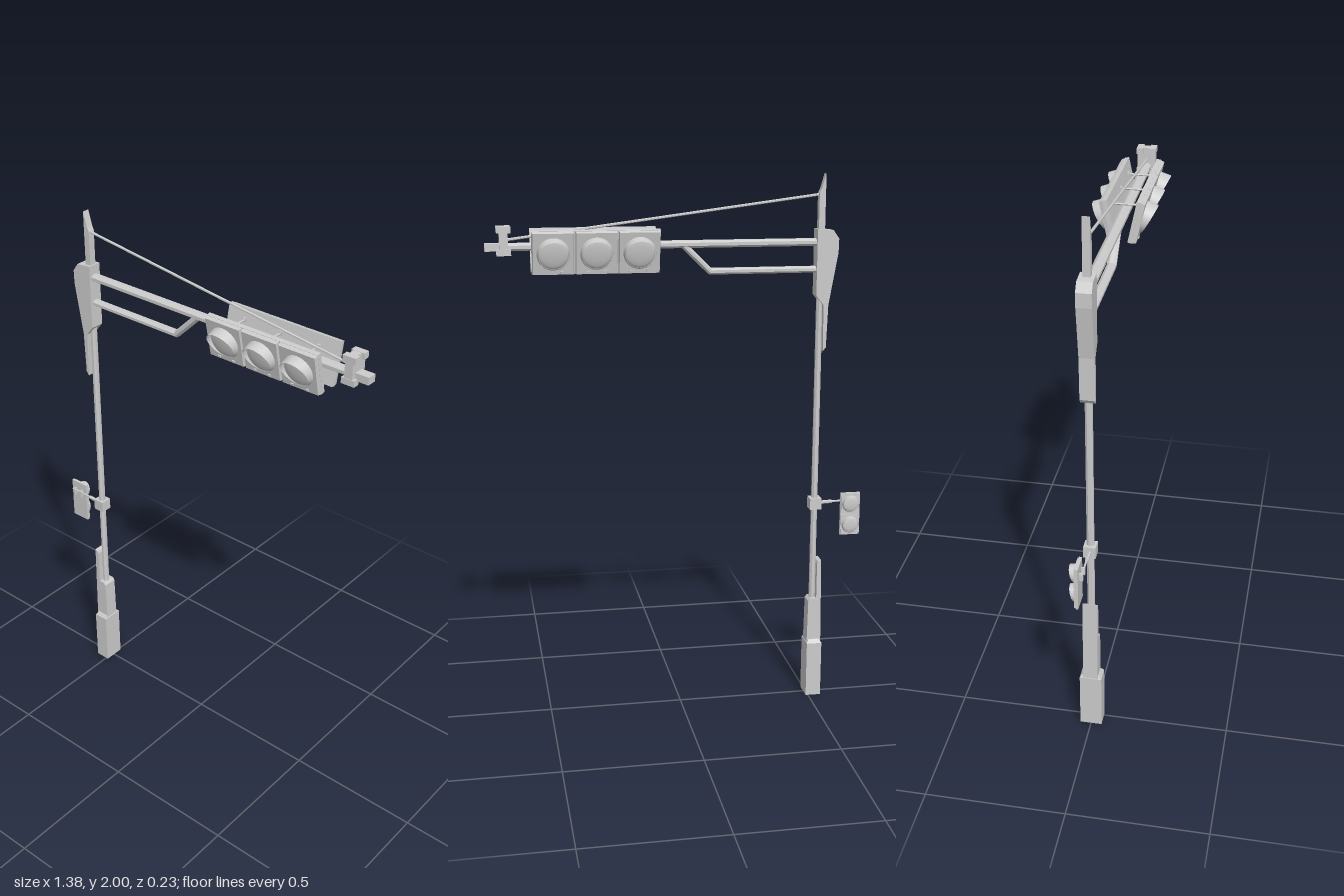
import * as THREE from 'three';

const mat = new THREE.MeshStandardMaterial({ color: 0xcccccc, flatShading: true });
const thin = new THREE.MeshStandardMaterial({ color: 0xcccccc, flatShading: true, side: THREE.DoubleSide });
const smooth = new THREE.MeshStandardMaterial({ color: 0xcccccc, side: THREE.DoubleSide });
const POLE_X = -0.516;
const ARM_Y = 1.757;

function add(parent, name, geometry, material = mat) {
  const mesh = new THREE.Mesh(geometry, material);
  mesh.name = name;
  parent.add(mesh);
  return mesh;
}

function box(parent, name, size, pos) {
  const mesh = add(parent, name, new THREE.BoxGeometry(...size));
  mesh.position.set(...pos);
  return mesh;
}

// Side profile in x/y, extruded symmetrically to a depth in z
function slab(parent, name, points, depth) {
  const shape = new THREE.Shape(points.map(p => new THREE.Vector2(...p)));
  const geometry = new THREE.ExtrudeGeometry(shape, { depth, bevelEnabled: false });
  return add(parent, name, geometry.translate(0, 0, -depth / 2));
}

// Straight bar between two points, with an optional stretch across z
function bar(parent, name, a, b, radius, sides = 8, stretch = 1) {
  const start = new THREE.Vector3(...a), end = new THREE.Vector3(...b);
  const dir = end.clone().sub(start);
  const geometry = new THREE.CylinderGeometry(radius, radius, dir.length(), sides);
  geometry.rotateY(Math.PI / sides).scale(1, 1, stretch);
  const mesh = add(parent, name, geometry);
  mesh.position.copy(start).add(end).multiplyScalar(0.5);
  mesh.quaternion.setFromUnitVectors(new THREE.Vector3(0, 1, 0), dir.normalize());
  return mesh;
}

// Open tube along +z whose mouth is cut at a slant: long on top, short below
function visor(parent, radius, length, x, y, z) {
  const geometry = new THREE.CylinderGeometry(radius * 0.93, radius, 1, 28, 1, true);
  geometry.rotateX(Math.PI / 2);
  const p = geometry.attributes.position;
  for (let i = 0; i < p.count; i++) {
    const reach = length * (0.08 + 0.92 * (0.5 + 0.5 * p.getY(i) / radius));
    p.setZ(i, p.getZ(i) > 0 ? reach : 0);
  }
  geometry.computeVertexNormals();
  add(parent, 'visor', geometry, smooth).position.set(x, y, z);
}

// Shallow domed lens facing +z
function lens(parent, radius, x, y, z) {
  const geometry = new THREE.SphereGeometry(radius, 24, 5, 0, Math.PI * 2, 0, Math.PI / 2);
  geometry.rotateX(Math.PI / 2).scale(1, 1, 0.18);
  add(parent, 'lens', geometry, smooth).position.set(x, y, z);
}

// Horizontal head with three lamps, leaning forward at the top
function signalHead(name) {
  const head = new THREE.Group();
  head.name = name;
  box(head, 'housingBack', [0.45, 0.155, 0.016], [0, 0, -0.008]);
  for (const x of [-0.151, 0, 0.151]) {
    const door = box(head, 'lampDoor', [0.147, 0.153, 0.014], [x, 0, 0.007]);
    const p = door.geometry.attributes.position;
    for (let i = 0; i < p.count; i++) {
      if (p.getZ(i) > 0) p.setXY(i, p.getX(i) * 0.96, p.getY(i) * 0.96);
    }
    lens(head, 0.054, x, 0, 0.014);
    visor(head, 0.058, 0.042, x, 0, 0.014);
    for (const s of [-1, 1]) box(head, 'doorLatch', [0.01, 0.008, 0.006], [x + s * 0.03, -0.066, 0.015]);
  }
  return head;
}

export function createModel() {
  const model = new THREE.Group();
  model.name = 'trafficSignalMast';

  // Base: hollow four-sided sleeve, narrower collar and a fin up the pole
  const sleeve = new THREE.CylinderGeometry(Math.SQRT1_2, Math.SQRT1_2, 1, 4, 1, true).rotateY(Math.PI / 4);
  const base = add(model, 'base', sleeve, thin);
  base.scale.set(0.058, 0.215, 0.08);
  base.position.set(-0.52, 0.1075, 0);
  const shoulder = new THREE.CylinderGeometry(0.7, 1, 1, 4, 1).rotateY(Math.PI / 4);
  const neck = add(model, 'baseShoulder', shoulder);
  neck.scale.set(0.058 * Math.SQRT1_2, 0.014, 0.08 * Math.SQRT1_2);
  neck.position.set(-0.52, 0.222, 0);
  slab(model, 'baseCollar', [[-0.548, 0.21], [-0.493, 0.21], [-0.496, 0.385], [-0.505, 0.395],
    [-0.527, 0.395], [-0.527, 0.535], [-0.531, 0.545], [-0.543, 0.55]], 0.054);

  // Pole and slanted tip
  bar(model, 'pole', [POLE_X, 0.2, 0], [POLE_X, 1.8, 0], 0.012, 8, 1.15);
  slab(model, 'poleTip', [[-0.527, 1.78], [-0.504, 1.78], [-0.504, 1.93], [-0.511, 1.945], [-0.527, 2]], 0.026);

  // Bracket that holds the arms
  slab(model, 'armBracket', [[-0.527, 1.36], [-0.525, 1.53], [-0.497, 1.565], [-0.497, 1.805],
    [-0.556, 1.8], [-0.577, 1.77], [-0.576, 1.72], [-0.543, 1.53], [-0.538, 1.375]], 0.052);

  // Arms: straight top bar and a lower bar bending up to meet it
  bar(model, 'upperArm', [-0.5, ARM_Y, 0], [0.64, ARM_Y, 0], 0.0145, 8, 1.4);
  bar(model, 'lowerArm', [-0.5, 1.659, 0], [-0.105, 1.659, 0], 0.0125, 8, 1.4);
  bar(model, 'armBrace', [-0.11, 1.657, 0], [-0.008, 1.757, 0], 0.0125, 8, 1.4);
  bar(model, 'stayCable', [-0.515, 1.927, 0], [0.61, 1.782, 0], 0.005, 6);

  // Clamp near the end of the arm, with flared corners
  const clamp = new THREE.Group();
  clamp.name = 'armEndClamp';
  clamp.position.set(0.624, 1.779, 0);
  model.add(clamp);
  box(clamp, 'clampCore', [0.03, 0.098, 0.068], [0, 0, 0]);
  for (const y of [-1, 1]) for (const z of [-1, 1]) {
    box(clamp, 'clampCorner', [0.05, 0.022, 0.024], [0, y * 0.039, z * 0.024]);
  }
  box(model, 'armEnd', [0.06, 0.027, 0.036], [0.66, ARM_Y, 0]);

  // Two signal heads back to back, tied across the arm
  for (const s of [1, -1]) {
    const mount = new THREE.Group();
    mount.name = s > 0 ? 'frontSignalMount' : 'backSignalMount';
    mount.position.set(0.305, 1.738, 0);
    mount.rotation.y = s > 0 ? 0 : Math.PI;
    const head = signalHead('signalHead');
    head.position.z = 0.052;
    head.rotation.x = 0.21;
    mount.add(head);
    model.add(mount);
  }
  for (const x of [0.154, 0.305, 0.456]) {
    bar(model, 'headTie', [x, 1.778, -0.052], [x, 1.778, 0.052], 0.004, 6);
    for (const s of [-1, 1]) box(model, 'tieFoot', [0.014, 0.014, 0.01], [x, 1.778, s * 0.043]);
  }

  // Pedestrian signal on a short side arm, facing the back
  box(model, 'sideClamp', [0.044, 0.044, 0.044], [-0.517, 0.773, 0]);
  bar(model, 'sideArm', [-0.53, 0.773, 0], [-0.585, 0.775, 0], 0.007, 6);
  bar(model, 'sideArmThin', [-0.58, 0.775, 0], [-0.68, 0.777, 0], 0.004, 6);
  const walk = new THREE.Group();
  walk.name = 'pedestrianSignal';
  walk.position.set(-0.653, 0.728, -0.014);
  walk.rotation.y = Math.PI;
  model.add(walk);
  box(walk, 'walkHousing', [0.076, 0.165, 0.01], [0, 0, 0]);
  for (const y of [-0.041, 0.041]) {
    box(walk, 'walkDoor', [0.072, 0.077, 0.006], [0, y, 0.007]);
    lens(walk, 0.03, 0, y, 0.01);
    visor(walk, 0.033, 0.022, 0, y, 0.01);
  }
  for (const x of [-0.017, 0.017]) box(walk, 'walkBracket', [0.008, 0.028, 0.016], [x, 0.04, -0.011]);

  return model;
}
